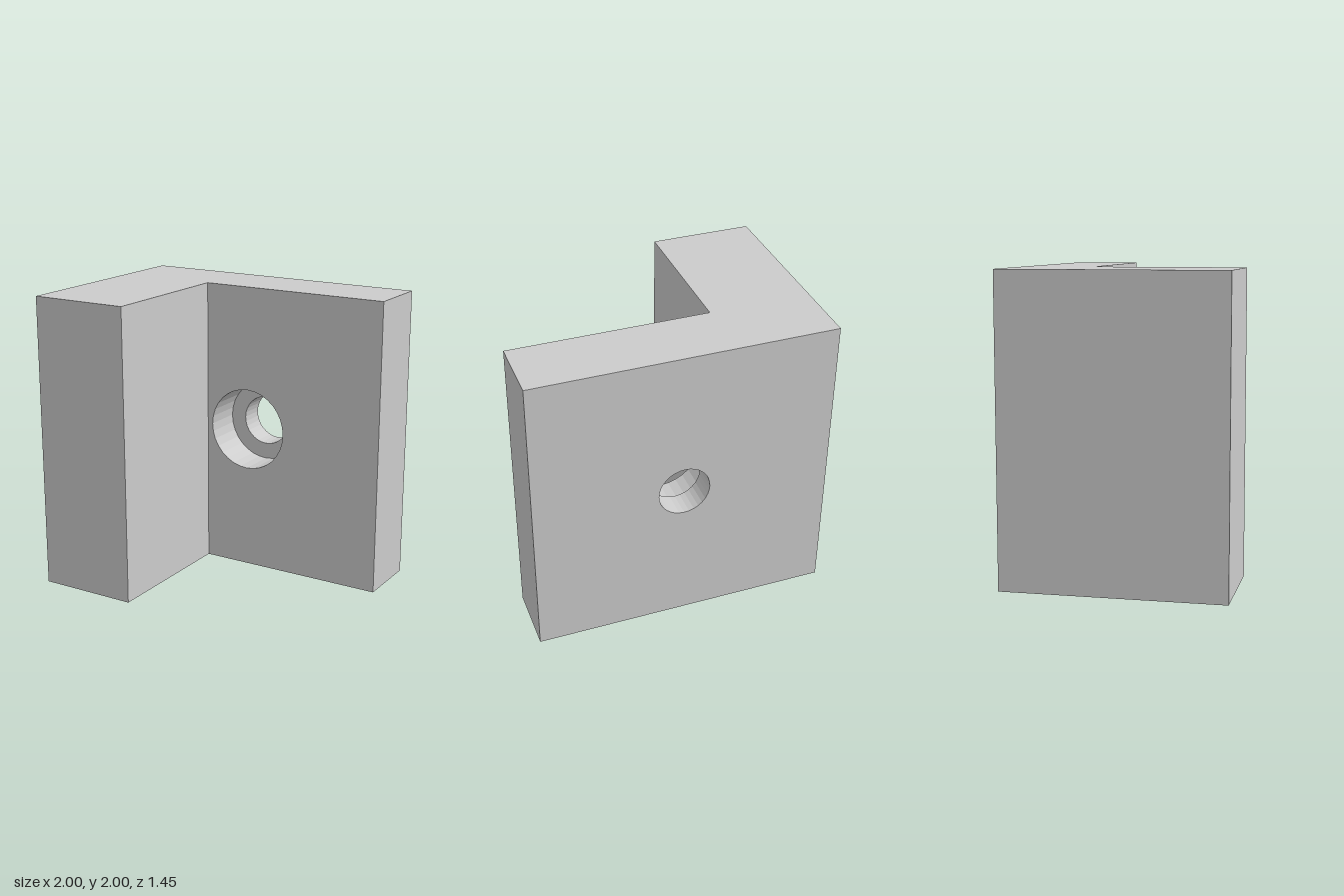
import * as THREE from 'three';
import { mergeGeometries } from 'three/addons/utils/BufferGeometryUtils.js';

const HEIGHT = 2, SEGMENTS = 32;
const BORE = 0.172, COUNTERBORE = 0.283;
const FRONT = -0.28, SHOULDER = -0.55, BACK = -0.725;

// L-shaped plan as [x, z], walked so that each wall faces outward
const PLAN = [[-1, 0.725], [-0.32, 0.725], [-0.32, FRONT], [1, FRONT], [1, BACK], [-1, BACK]];
// Round openings at x = 0, by index of the wall they pierce
const OPENINGS = { 2: COUNTERBORE, 4: BORE };

// Upright wall from a to b, with an optional round opening
function wall([ax, az], [bx, bz], radius) {
  const length = Math.hypot(bx - ax, bz - az);
  const shape = new THREE.Shape([[0, 0], [length, 0], [length, HEIGHT], [0, HEIGHT]]
    .map(([u, v]) => new THREE.Vector2(u, v)));
  if (radius) {
    shape.holes.push(new THREE.Path().absarc(Math.abs(ax), HEIGHT / 2, radius, 0, Math.PI * 2, true));
  }
  return new THREE.ShapeGeometry(shape, SEGMENTS / 2)
    .rotateY(Math.atan2(az - bz, bx - ax))
    .translate(ax, 0, az);
}

// Horizontal end face: side 1 faces up, -1 faces down
function cap(side) {
  const shape = new THREE.Shape(PLAN.map(([x, z]) => new THREE.Vector2(x, -side * z)));
  return new THREE.ShapeGeometry(shape)
    .rotateX(-side * Math.PI / 2)
    .translate(0, side > 0 ? HEIGHT : 0, 0);
}

export function createModel() {
  const group = new THREE.Group();
  group.name = 'angleBracket';
  const material = new THREE.MeshStandardMaterial({ color: 0xcccccc, flatShading: true });

  // Solid L-shaped body
  const walls = PLAN.map((p, i) => wall(p, PLAN[(i + 1) % PLAN.length], OPENINGS[i]));
  const body = new THREE.Mesh(mergeGeometries([...walls, cap(1), cap(-1)]), material);
  body.name = 'bracketBody';
  group.add(body);

  // Stepped screw hole: wide counterbore, shoulder, narrow bore
  const profile = [[COUNTERBORE, FRONT], [COUNTERBORE, SHOULDER], [BORE, SHOULDER], [BORE, BACK]]
    .map(([r, z]) => new THREE.Vector2(r, z));
  const hole = new THREE.Mesh(new THREE.LatheGeometry(profile, SEGMENTS).rotateX(Math.PI / 2), material);
  hole.name = 'counterboredHole';
  hole.position.y = HEIGHT / 2;
  group.add(hole);

  return group;
}
